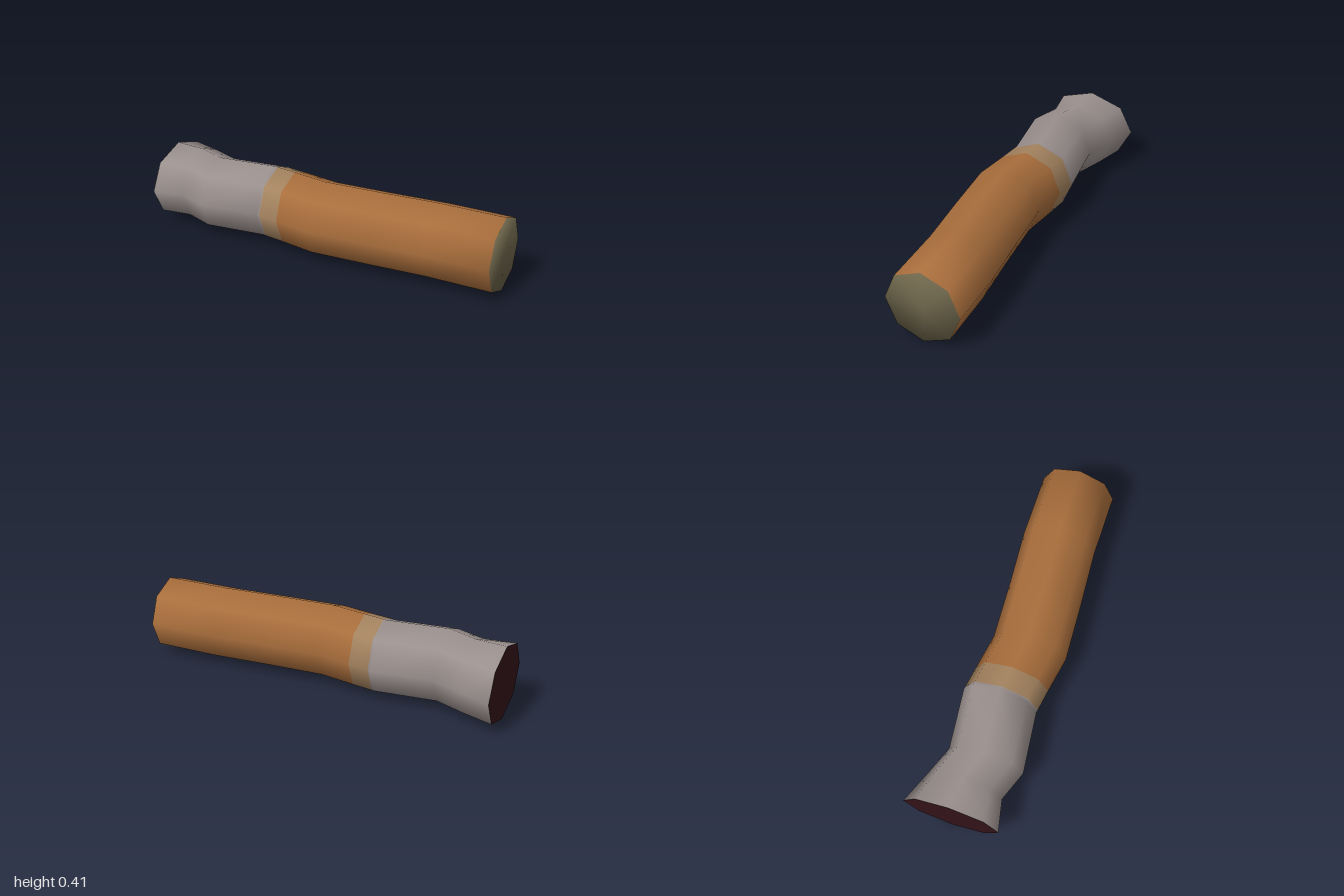
import * as THREE from 'three';

const SIDES = 8, HEIGHT = 0.412;
// Body rings from the flared end to the plain end: x, back z, front z
const RINGS = [
  [-1, -0.28, 0.238], [-0.83, -0.212, 0.2], [-0.667, -0.15, 0.26], [-0.333, -0.188, 0.22],
  [-0.317, -0.185, 0.223], [-0.2, -0.167, 0.241], [0, -0.135, 0.276],
  [0.33, -0.154, 0.256], [0.64, -0.178, 0.233], [1, -0.181, 0.23],
];

const mat = (name, color) => {
  const m = new THREE.MeshStandardMaterial({ color });
  m.name = name;
  return m;
};

export function createModel() {
  const grey = mat('grey', 0x9a908e), tan = mat('tan', 0xa4835f);
  const orange = mat('orange brown', 0xa96e3c), olive = mat('olive', 0x6f674c);
  const maroon = mat('dark maroon', 0x33141a);

  // Eight-sided cross-sections, followed by the two cap centres
  const pos = [];
  for (const [x, z0, z1] of RINGS) {
    for (let j = 0; j < SIDES; j++) {
      const a = (j / SIDES) * Math.PI * 2;
      pos.push(x, HEIGHT / 2 * (1 + Math.cos(a)), (z0 + z1) / 2 + (z1 - z0) / 2 * Math.sin(a));
    }
  }
  const last = RINGS.length - 1, centre = RINGS.length * SIDES;
  pos.push(1, HEIGHT / 2, 0.025);

  // Side faces between two rings
  const sides = (from, to) => {
    const idx = [];
    for (let i = from; i < to; i++) for (let j = 0; j < SIDES; j++) {
      const k = (j + 1) % SIDES;
      const a = i * SIDES + j, b = i * SIDES + k, c = a + SIDES, d = b + SIDES;
      idx.push(a, b, c, b, d, c);
    }
    return idx;
  };
  const plainCap = [], flaredCap = [];
  for (let j = 0; j < SIDES; j++) {
    plainCap.push(centre, last * SIDES + j, last * SIDES + (j + 1) % SIDES);
    if (j > 0 && j < SIDES - 1) flaredCap.push(0, j + 1, j);
  }

  // Smooth normals run through the body and the plain end
  const parts = [
    ['flaredSleeve', sides(0, 4), grey], ['jointBand', sides(4, 5), tan],
    ['mainShaft', sides(5, last), orange], ['plainEndCap', plainCap, olive],
  ];
  const whole = new THREE.BufferGeometry();
  whole.setAttribute('position', new THREE.Float32BufferAttribute(pos, 3));
  whole.setIndex(parts.flatMap((p) => p[1]));
  whole.computeVertexNormals();

  const group = new THREE.Group();
  group.name = 'bentShaft';
  const add = (name, geo, material) => {
    const mesh = new THREE.Mesh(geo, material);
    mesh.name = name;
    group.add(mesh);
  };
  for (const [name, idx, material] of parts) {
    const geo = whole.clone();
    geo.setIndex(idx);
    add(name, geo, material);
  }

  // Flat cap on the flared end
  const capGeo = new THREE.BufferGeometry();
  capGeo.setAttribute('position', new THREE.Float32BufferAttribute(pos.slice(0, SIDES * 3), 3));
  capGeo.setIndex(flaredCap);
  capGeo.computeVertexNormals();
  add('flaredEndCap', capGeo, maroon);
  return group;
}
